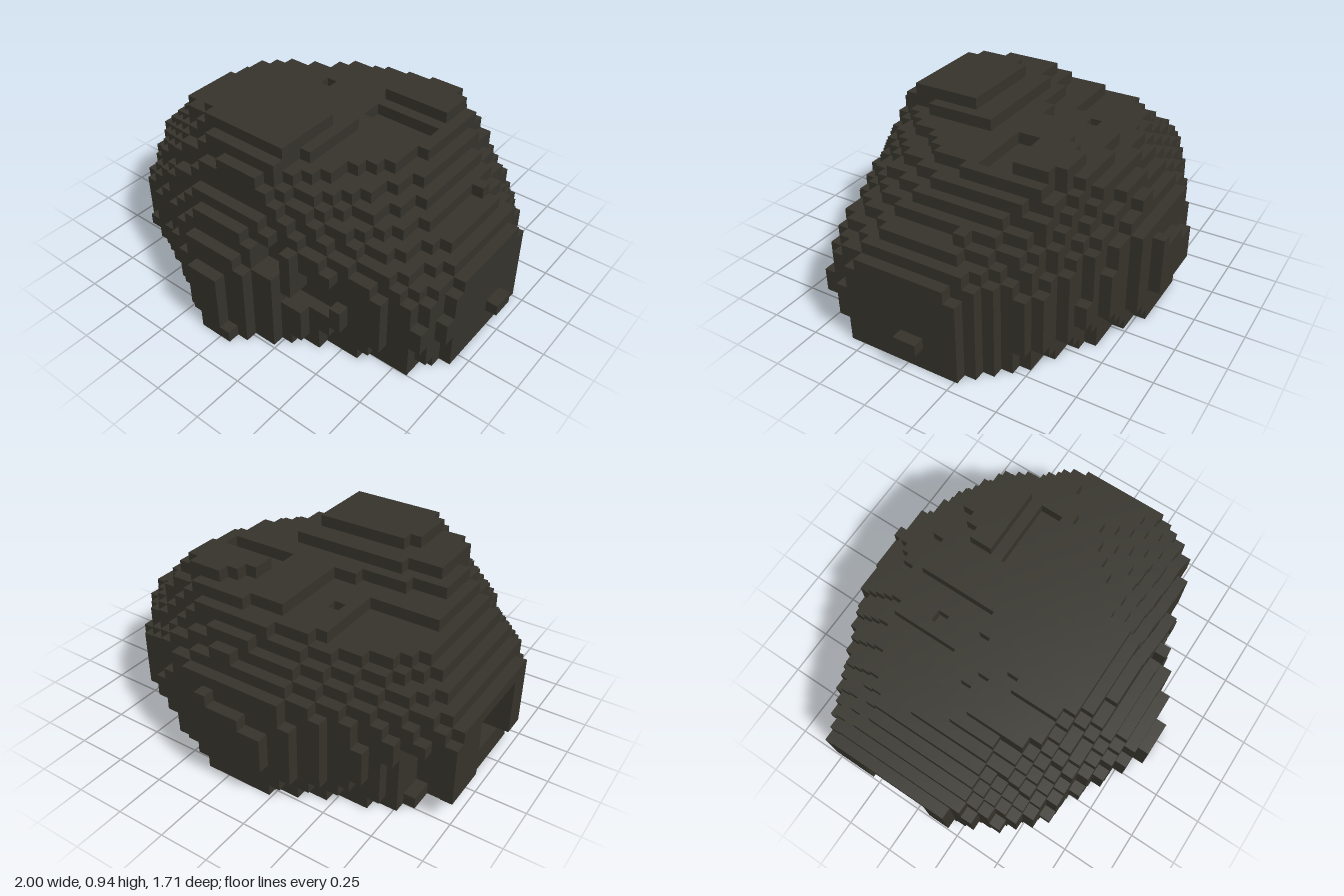
import * as THREE from 'three';

const V = 2 / 34; // voxel size
const NX = 34, NY = 16, NZ = 29;

// Outline of the boulder at key layers: [x, z] corners, matched one to one
const BASE = [[.95, -.24], [.93, .27], [.8, .47], [.43, .57], [.02, .83], [-.12, .83], [-.44, .62], [-.7, .52],
  [-.93, .18], [-.93, -.4], [-.72, -.55], [-.57, -.61], [-.2, -.78], [.08, -.78], [.35, -.67], [.71, -.47], [.75, -.42]];
const FULL = [[.95, -.25], [.94, .31], [.845, .5], [.47, .6], [0, .83], [-.15, .83], [-.5, .648], [-.76, .56],
  [-.99, .2], [-1.03, -.5], [-.76, -.6], [-.62, -.65], [-.23, -.83], [.1, -.835], [.39, -.708], [.75, -.51], [.76, -.43]];
const SHOULDER = [[.885, -.2], [.885, .21], [.73, .45], [.44, .57], [.03, .755], [-.19, .755], [-.5, .62], [-.7, .51],
  [-.955, .18], [-.955, -.42], [-.72, -.55], [-.59, -.61], [-.24, -.78], [.1, -.815], [.38, -.69], [.69, -.48], [.72, -.42]];
const UPPER = [[.59, -.2], [.56, .1], [.43, .32], [.29, .48], [.06, .605], [-.22, .605], [-.45, .54], [-.6, .43],
  [-.71, .2], [-.71, -.2], [-.58, -.4], [-.45, -.47], [-.2, -.58], [.11, -.62], [.34, -.58], [.52, -.47], [.56, -.38]];
const VALLEY = [[.53, -.2], [.48, .07], [.34, .26], [.22, .45], [.05, .59], [-.2, .59], [-.42, .5], [-.55, .4],
  [-.65, .2], [-.62, .02], [-.3, -.03], [-.14, -.09], [-.12, -.46], [.11, -.56], [.33, -.54], [.49, -.44], [.53, -.36]];

// Raised crowns on top
const FRONT_CROWN = [[-.35, .03], [.17, .03], [.17, .35], [.08, .56], [-.25, .56], [-.48, .45], [-.6, .32], [-.6, .12]];
const BACK_CROWN = [[.11, -.26], [.47, -.26], [.47, -.4], [.4, -.5], [.28, -.5], [.11, -.34]];
const SUMMIT = [[-.3, .15], [.12, .15], [.12, .44], [.05, .51], [-.3, .51], [-.42, .42], [-.42, .25]];

// Eroded pockets: x0, x1, y0, y1, z0, z1
const PITS = [
  [-1, -.82, .11, .41, -.24, .1],     // hollow in the right flank
  [-1, -.94, 0, .12, -.9, .9],        // undercut flank
  [-.94, -.76, .06, .36, -.9, -.38],  // hollow behind the rear corner
  [-1, -.82, 0, .06, -.9, -.38],
  [-.82, -.7, .11, .3, -.9, -.53],
  [-.9, .9, 0, .12, -.9, -.79],       // undercut back
  [.24, .5, .23, .3, .56, .9],        // chips in the front
  [.3, .53, .3, .42, .53, .9],
  [.12, .24, .41, .53, .62, .9],
  [.12, .5, .76, .83, -.2, -.08],     // groove across the top
  [-.9, -.35, .7, .77, -.9, -.12],    // sunken shelf
  [-.3, -.24, .7, .77, -.32, -.26],
];

const blend = (a, b, t) => a.map(([x, z], i) => [x + (b[i][0] - x) * t, z + (b[i][1] - z) * t]);

function outlines(j) {
  if (j <= 3) return [blend(BASE, FULL, j / 3)];
  if (j <= 8) return [blend(FULL, SHOULDER, ((j - 3) / 5) ** 3)];
  if (j <= 12) return [blend(SHOULDER, UPPER, (j - 8) / 4)];
  if (j === 13) return [VALLEY];
  return j === 14 ? [FRONT_CROWN, BACK_CROWN] : [SUMMIT];
}

function inside(poly, x, z) {
  let hit = false;
  poly.forEach(([ax, az], i) => {
    const [bx, bz] = poly[(i + 1) % poly.length];
    if ((az > z) !== (bz > z) && x < ax + (bx - ax) * (z - az) / (bz - az)) hit = !hit;
  });
  return hit;
}

// Fill the voxel grid layer by layer
function fillGrid() {
  const solid = new Set();
  for (let j = 0; j < NY; j++) {
    const polys = outlines(j);
    for (let i = 0; i < NX; i++) for (let k = 0; k < NZ; k++) {
      const x = (i + .5 - NX / 2) * V, y = (j + .5) * V, z = (k + .5 - NZ / 2) * V;
      const pit = PITS.some(p => x > p[0] && x < p[1] && y > p[2] && y < p[3] && z > p[4] && z < p[5]);
      if (!pit && polys.some(p => inside(p, x, z))) solid.add(`${i},${j},${k}`);
    }
  }
  return solid;
}

// Emit only the exposed voxel faces
function voxelGeometry(solid) {
  const pos = [], nor = [], index = [];
  for (const key of solid) {
    const c = key.split(',').map(Number);
    for (let a = 0; a < 3; a++) for (const s of [1, -1]) {
      const n = [0, 0, 0];
      n[a] = s;
      if (solid.has(c.map((v, d) => v + n[d]).join())) continue;
      const base = pos.length / 3, u = (a + 1) % 3, w = (a + 2) % 3;
      for (const [p, q] of [[0, 0], [1, 0], [1, 1], [0, 1]]) {
        const v = [...c];
        v[a] += s > 0 ? 1 : 0;
        v[u] += p;
        v[w] += q;
        pos.push((v[0] - NX / 2) * V, v[1] * V, (v[2] - NZ / 2) * V);
        nor.push(...n);
      }
      const o = s > 0 ? [0, 1, 2, 0, 2, 3] : [0, 2, 1, 0, 3, 2];
      index.push(...o.map(e => base + e));
    }
  }
  const g = new THREE.BufferGeometry();
  g.setAttribute('position', new THREE.Float32BufferAttribute(pos, 3));
  g.setAttribute('normal', new THREE.Float32BufferAttribute(nor, 3));
  g.setIndex(index);
  return g;
}

export function createModel() {
  const stone = new THREE.MeshStandardMaterial({ color: 0x35332b });
  stone.name = 'darkStone';
  const group = new THREE.Group();
  group.name = 'boulder';

  const body = new THREE.Mesh(voxelGeometry(fillGrid()), stone);
  body.name = 'boulderBody';

  // Small nub on the left flank
  const nub = new THREE.Mesh(new THREE.BoxGeometry(V, V, 2 * V), stone);
  nub.name = 'sideNub';
  nub.position.set(1 - V / 2, 2.5 * V, -V / 2);

  group.add(body, nub);
  return group;
}
